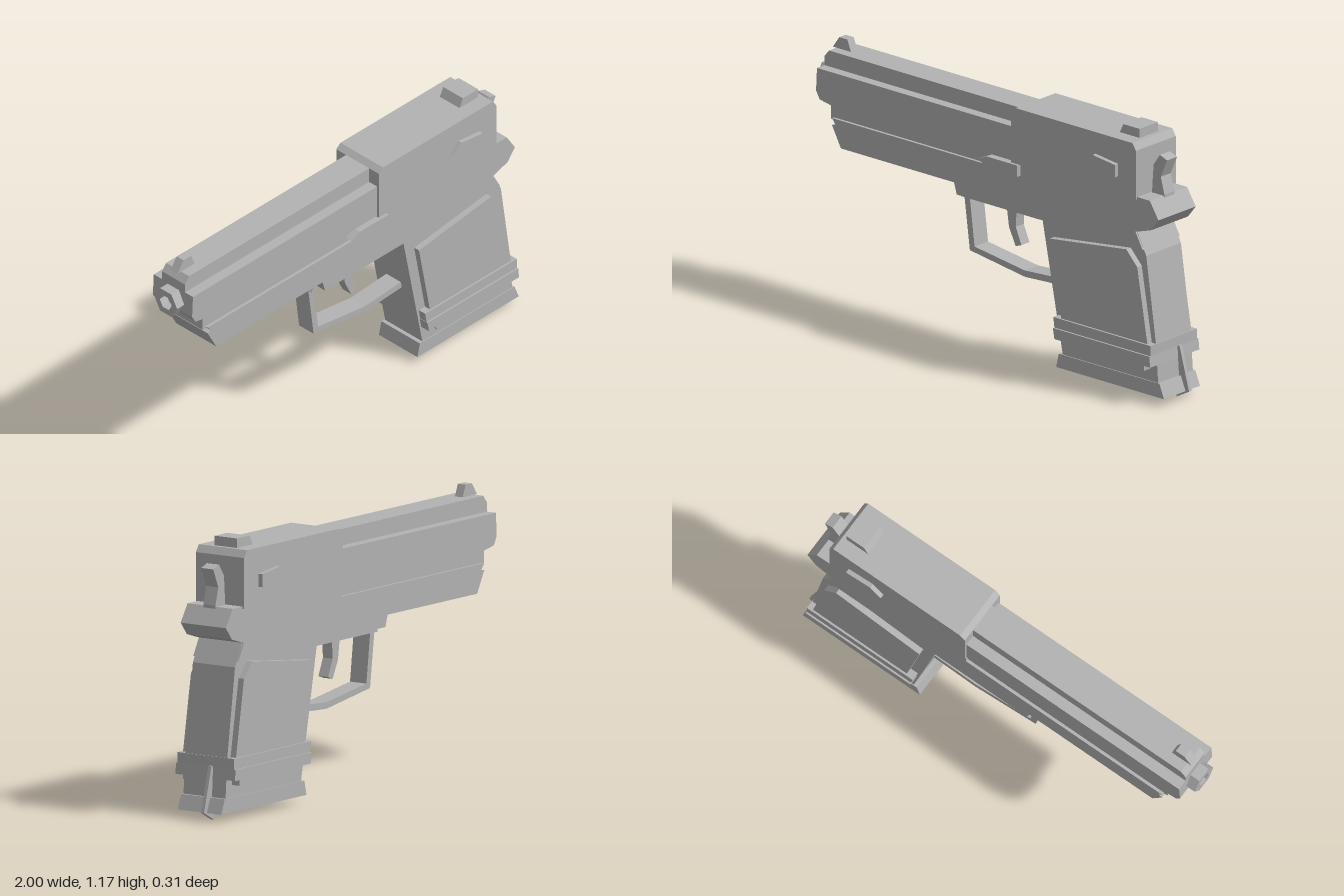
import * as THREE from 'three';

export function createModel() {
  const model = new THREE.Group();
  model.name = 'pistol';
  const grey = new THREE.MeshStandardMaterial({ color: 0xb2b2b2 });
  grey.name = 'grey';
  grey.flatShading = true;

  // Side profile in x,y swept between two z values
  function plate(name, points, z0, z1, hole) {
    const shape = new THREE.Shape(points.map(([x, y]) => new THREE.Vector2(x, y)));
    if (hole) shape.holes.push(new THREE.Path(hole.map(([x, y]) => new THREE.Vector2(x, y))));
    const geometry = new THREE.ExtrudeGeometry(shape, { depth: z1 - z0, bevelEnabled: false });
    geometry.translate(0, 0, z0);
    const mesh = new THREE.Mesh(geometry, grey);
    mesh.name = name;
    model.add(mesh);
    return mesh;
  }
  const slab = (name, points, half) => plate(name, points, -half, half);
  const rect = (x0, x1, y0, y1) => [[x0, y0], [x1, y0], [x1, y1], [x0, y1]];

  // Slide: tall rear block, lower front half and narrow top rib
  slab('slideRear', [[0.135, 0.885], [0.83, 0.885], [0.83, 1.1], [0.81, 1.13], [0.16, 1.13], [0.135, 1.11]], 0.124);
  slab('slideFront', [[-0.94, 0.905], [-0.86, 0.89], [0.14, 0.89], [0.14, 1.04], [-0.955, 1.04], [-0.96, 0.94]], 0.114);
  slab('topRib', [[-0.955, 1.04], [0.14, 1.04], [0.14, 1.11], [-0.93, 1.11], [-0.955, 1.08]], 0.067);
  slab('slideRail', rect(-0.887, 0.14, 0.83, 0.892), 0.103);

  // Sights
  slab('frontSight', [[-0.95, 1.11], [-0.85, 1.11], [-0.87, 1.16], [-0.915, 1.16]], 0.02);
  slab('rearSight', [[0.68, 1.13], [0.79, 1.13], [0.79, 1.17], [0.7, 1.17]], 0.057);

  // Hexagonal muzzle with an open bore
  const ring = (r) => Array.from({ length: 6 }, (_, i) =>
    [r * Math.cos(i * Math.PI / 3), r * Math.sin(i * Math.PI / 3)]);
  const muzzle = plate('muzzle', ring(0.066), 0, 0.06, ring(0.035).reverse());
  muzzle.rotation.y = -Math.PI / 2;
  muzzle.position.set(-0.94, 0.977, 0);

  // Frame with dust cover and tail over the hand
  slab('frame', [
    [-0.87, 0.84], [-0.85, 0.815], [-0.87, 0.81], [-0.82, 0.718], [-0.19, 0.718], [-0.175, 0.668],
    [0.86, 0.668], [0.82, 0.74], [0.905, 0.766], [0.948, 0.82], [0.9, 0.895], [0.135, 0.895], [0.135, 0.84],
  ], 0.116);
  slab('guardMount', [[-0.2, 0.64], [0.24, 0.64], [0.27, 0.67], [-0.18, 0.67]], 0.06);

  // Hammer
  slab('hammer', [
    [0.835, 0.88], [0.905, 0.88], [0.905, 0.9], [0.885, 0.975], [0.92, 1.055], [0.88, 1.07], [0.845, 1.02],
  ], 0.031);

  // Trigger and its guard
  slab('trigger', [
    [0.02, 0.65], [0.035, 0.55], [0.072, 0.475], [0.104, 0.487], [0.072, 0.56], [0.078, 0.65],
  ], 0.025);
  slab('triggerGuard', [
    [-0.2, 0.65], [-0.168, 0.405], [0.14, 0.36], [0.4, 0.375], [0.39, 0.404], [0.137, 0.388],
    [-0.142, 0.427], [-0.17, 0.65],
  ], 0.042);

  // Grip core, magazine base and bands around the lower grip
  slab('grip', [
    [0.295, 0.67], [0.41, 0.09], [0.94, 0.09], [0.927, 0.27], [0.873, 0.644], [0.82, 0.745], [0.4, 0.745],
  ], 0.108);
  slab('magazineBase', [[0.375, 0.038], [0.975, 0.038], [0.95, 0.1], [0.39, 0.1]], 0.112);
  slab('upperBand', [[0.395, 0.225], [0.93, 0.225], [0.93, 0.27], [0.388, 0.27]], 0.145);
  slab('middleBand', [[0.402, 0.178], [0.935, 0.178], [0.93, 0.225], [0.393, 0.225]], 0.153);
  slab('lowerBand', [[0.46, 0.152], [0.893, 0.152], [0.893, 0.18], [0.445, 0.18]], 0.145);
  plate('rearSpur', [[0.925, 0.003], [0.995, 0.04], [0.942, 0.23], [0.925, 0.23]], -0.038, -0.022);

  // Grip panels and slide buttons on both sides
  const panel = [[0.36, 0.606], [0.425, 0.265], [0.905, 0.265], [0.848, 0.595], [0.787, 0.66]];
  const button = [[0.553, 0.99], [0.633, 0.947], [0.73, 0.965], [0.73, 1.02], [0.606, 1.035]];
  for (const [side, s] of [['left', 1], ['right', -1]]) {
    const between = (a, b) => (s > 0 ? [a, b] : [-b, -a]);
    plate(side === 'left' ? 'frontGripPanel' : 'backGripPanel', panel, ...between(0.1, 0.136));
    plate(side === 'left' ? 'frontButton' : 'backButton', button, ...between(0.115, 0.144));
  }

  // Slide stop lever on the front side only
  plate('slideStop', [[-0.04, 0.862], [0.025, 0.835], [0.18, 0.835], [0.18, 0.885], [0.01, 0.885]], 0.1, 0.137);

  return model;
}
